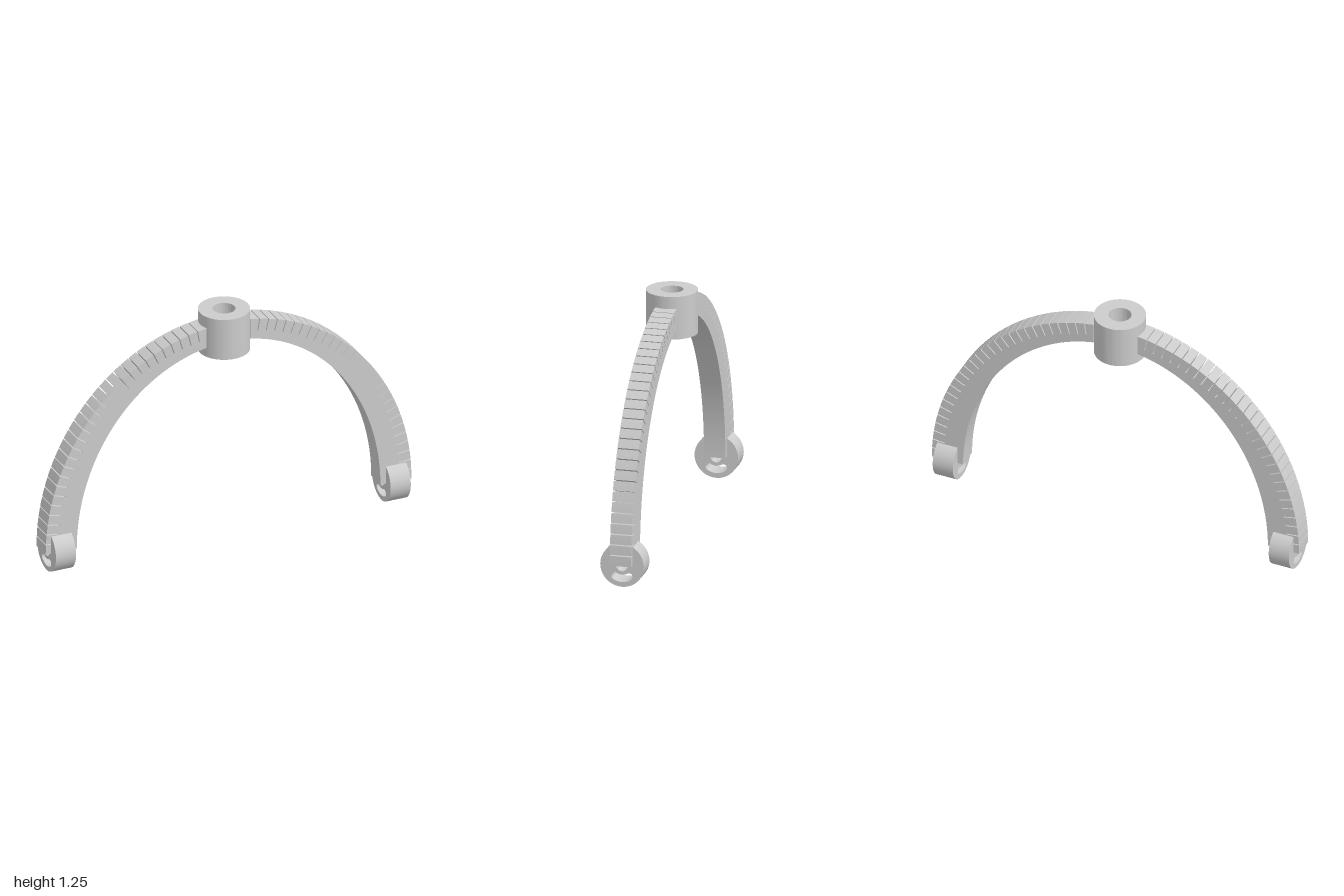
import * as THREE from 'three';
import { toCreasedNormals } from 'three/addons/utils/BufferGeometryUtils.js';

const BASE_Y = 0.115;
const HUB_EDGE = 0.12;
const material = new THREE.MeshStandardMaterial({ color: 0xcccccc });

// Extrude a shape symmetrically about its own plane, keeping curves smooth and edges sharp
function extrude(shape, depth, curveSegments = 32) {
  const geo = new THREE.ExtrudeGeometry(shape, { depth, bevelEnabled: false, curveSegments });
  geo.translate(0, 0, -depth / 2);
  return toCreasedNormals(geo, 0.5);
}

function part(name, geo) {
  const mesh = new THREE.Mesh(geo, material);
  mesh.name = name;
  return mesh;
}

function disc(radius, holeRadius) {
  const shape = new THREE.Shape().absarc(0, 0, radius, 0, Math.PI * 2, false);
  shape.holes.push(new THREE.Path().absarc(0, 0, holeRadius, 0, Math.PI * 2, true));
  return shape;
}

// Quarter arch between two ellipses, with thin slits cut into its outer edge
function armShape() {
  const outer = (t) => new THREE.Vector2(Math.cos(t), BASE_Y + 1.083 * Math.sin(t));
  const inner = (t) => new THREE.Vector2(0.83 * Math.cos(t), BASE_Y + 0.977 * Math.sin(t));
  const half = 0.0025, depth = 0.065, step = 0.05;
  const points = [outer(0)];
  for (let k = 1; k <= 28; k++) {
    const t = k * step;
    const inward = new THREE.Vector2(-Math.cos(t), -Math.sin(t)).multiplyScalar(depth);
    const a = outer(t - half), b = outer(t + half);
    points.push(outer(t - step / 2), a, a.clone().add(inward), b.clone().add(inward), b);
  }
  points.push(outer(Math.acos(HUB_EDGE)));
  const end = Math.acos(HUB_EDGE / 0.83);
  for (let i = 48; i >= 0; i--) points.push(inner((end * i) / 48));
  return new THREE.Shape(points);
}

// Round foot with a centre hole and a curved slot below it
function footShape() {
  const shape = disc(0.112, 0.031);
  const mid = 0.068, w = 0.019, spread = 0.56;
  const a0 = -Math.PI / 2 - spread, a1 = -Math.PI / 2 + spread;
  const slot = new THREE.Path();
  slot.absarc(0, 0, mid + w, a0, a1, false);
  slot.absarc(mid * Math.cos(a1), mid * Math.sin(a1), w, a1, a1 + Math.PI, false);
  slot.absarc(0, 0, mid - w, a1, a0, true);
  slot.absarc(mid * Math.cos(a0), mid * Math.sin(a0), w, a0 + Math.PI, a0 + 2 * Math.PI, false);
  shape.holes.push(slot);
  return shape;
}

export function createModel() {
  const model = new THREE.Group();
  model.name = 'slottedArch';

  // Hollow hub at the crown
  const hub = part('hub', extrude(disc(0.13, 0.057), 0.222, 48).rotateX(-Math.PI / 2));
  hub.position.y = 1.141;
  model.add(hub);

  // Arm and foot, turned half round for the other side
  const armGeo = extrude(armShape(), 0.11);
  const footGeo = extrude(footShape(), 0.11).rotateY(Math.PI / 2);
  for (const side of ['left', 'right']) {
    const leg = new THREE.Group();
    leg.name = side + 'Leg';
    const foot = part(side + 'Foot', footGeo);
    foot.position.set(0.915, 0.112, 0);
    leg.add(part(side + 'Arm', armGeo), foot);
    if (side === 'right') leg.rotation.y = Math.PI;
    model.add(leg);
  }
  return model;
}
